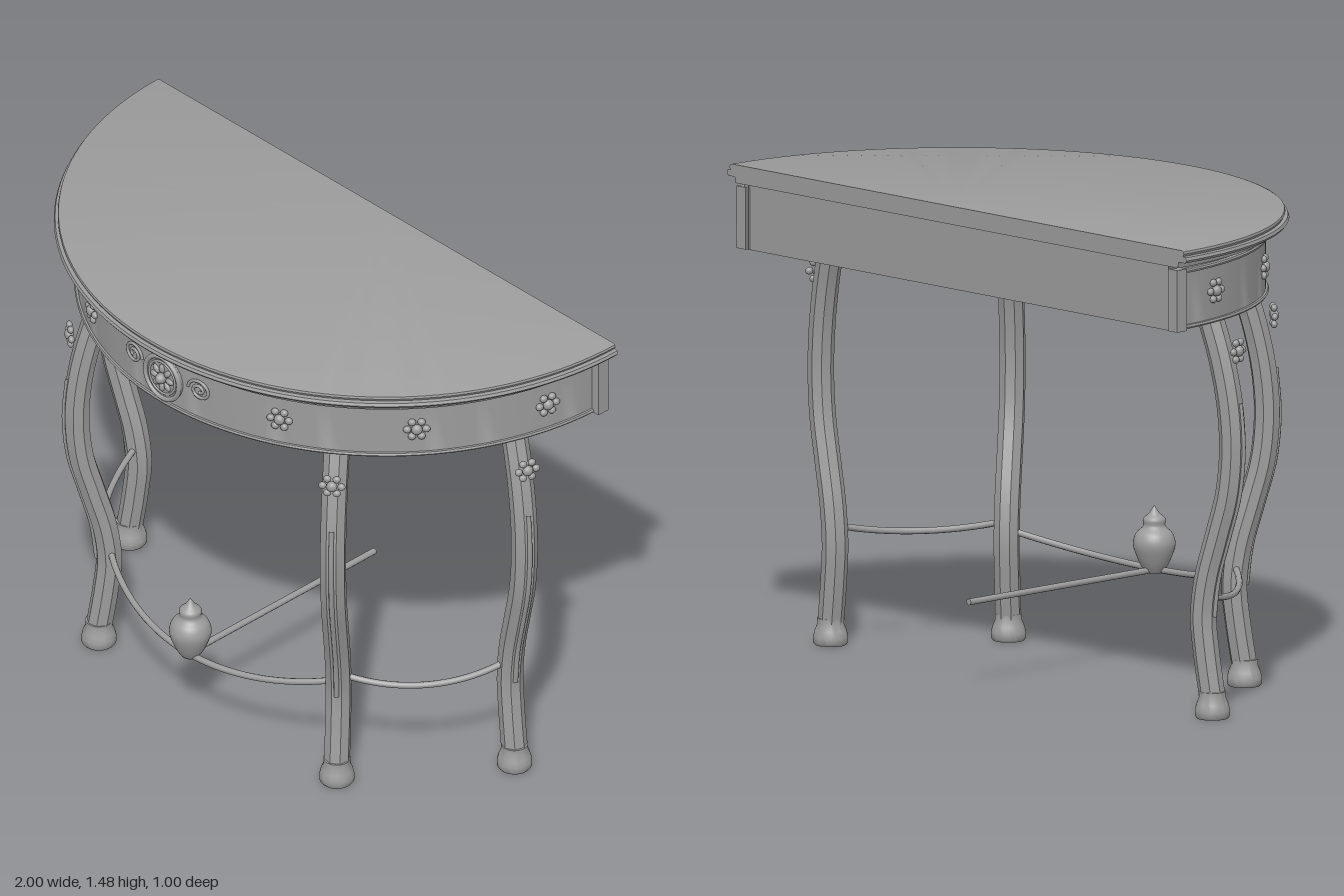
import * as THREE from 'three';
import { toCreasedNormals } from 'three/addons/utils/BufferGeometryUtils.js';

const V2 = (p) => new THREE.Vector2(p[0], p[1]);
const V3 = (x, y, z) => new THREE.Vector3(x, y, z);
const BACK = -0.5; // z of the straight back edge, centre of the half circle
const deg = Math.PI / 180;

export function createModel() {
  const model = new THREE.Group();
  const grey = new THREE.MeshStandardMaterial({ color: 0x9c9c9c });
  grey.name = 'plain grey';

  function add(parent, name, geometry, x = 0, y = 0, z = 0) {
    const mesh = new THREE.Mesh(geometry, grey);
    mesh.name = name;
    mesh.position.set(x, y, z);
    parent.add(mesh);
    return mesh;
  }

  // group whose local +x points outward at an angle round the half circle
  function radial(name, angle) {
    const g = new THREE.Group();
    g.name = name;
    g.position.z = BACK;
    g.rotation.y = -angle;
    model.add(g);
    return g;
  }

  // profile swept round the front half circle, with hard edges kept
  const halfLathe = (points) => toCreasedNormals(
    new THREE.LatheGeometry(points.map(V2), 72, -Math.PI / 2, Math.PI), 0.6);
  const tube = (points, r, n = 40) =>
    new THREE.TubeGeometry(new THREE.CatmullRomCurve3(points), n, r, 8);

  // table top with moulded edge
  const edge = [[0, 1.428], [0.962, 1.428], [0.965, 1.446], [0.994, 1.447], [1, 1.455],
    [0.996, 1.464], [0.984, 1.466], [0.988, 1.474], [0.986, 1.481], [0.978, 1.484], [0, 1.484]];
  add(model, 'tableTop', halfLathe(edge), 0, 0, BACK);
  const section = new THREE.Shape([...edge, ...edge.slice(1, -1).reverse().map(([x, y]) => [-x, y])].map(V2));
  add(model, 'tableTopBack', new THREE.ShapeGeometry(section), 0, 0, BACK).rotation.y = Math.PI;

  // curved apron with beads along both edges
  add(model, 'apron', halfLathe([[0.905, 1.43], [0.905, 1.23], [0.936, 1.23], [0.939, 1.235],
    [0.936, 1.241], [0.93, 1.242], [0.93, 1.4], [0.936, 1.401], [0.938, 1.407],
    [0.935, 1.412], [0.922, 1.413], [0.922, 1.43]]), 0, 0, BACK);
  add(model, 'apronBack', new THREE.BoxGeometry(1.86, 0.198, 0.02), 0, 1.329, BACK + 0.016);
  for (const s of [-1, 1]) {
    add(model, 'cornerPost', new THREE.BoxGeometry(0.04, 0.19, 0.042), s * 0.938, 1.325, BACK + 0.021);
  }

  // six-petal flower facing local +x
  const bead = new THREE.SphereGeometry(1, 14, 10);
  function flower(parent, x, y) {
    const g = new THREE.Group();
    g.name = 'flower';
    g.position.set(x, y, 0);
    parent.add(g);
    add(g, 'flowerCentre', bead, 0.003).scale.set(0.014, 0.017, 0.017);
    for (let i = 0; i < 6; i++) {
      const a = i * 60 * deg;
      add(g, 'petal', bead, 0, 0.029 * Math.sin(a), 0.029 * Math.cos(a)).scale.set(0.01, 0.0115, 0.0125);
    }
  }
  for (const k of [0.5, 1.5, 2.5, 4.5, 5.5, 6.5]) flower(radial('apronFlower', k * Math.PI / 7), 0.934, 1.326);

  // round medallion at the front
  const medallion = radial('medallion', Math.PI / 2);
  add(medallion, 'medallionDisc', new THREE.CylinderGeometry(0.076, 0.076, 0.016, 40), 0.932, 1.326).rotation.z = -Math.PI / 2;
  for (const [r, t] of [[0.072, 0.008], [0.055, 0.004]]) {
    add(medallion, 'medallionRing', new THREE.TorusGeometry(r, t, 10, 48), 0.94, 1.326).rotation.y = Math.PI / 2;
  }
  add(medallion, 'medallionBoss', bead, 0.945, 1.326).scale.set(0.02, 0.017, 0.017);
  for (let i = 0; i < 8; i++) {
    const a = i * 45 * deg;
    const p = add(medallion, 'medallionPetal', bead, 0.94, 1.326 + 0.033 * Math.sin(a), 0.033 * Math.cos(a));
    p.scale.set(0.009, 0.01, 0.016);
    p.rotation.x = -a;
  }

  // spiral scrolls either side of the medallion
  for (const s of [-1, 1]) {
    const pts = [];
    for (let i = 0; i <= 24; i++) {
      const t = i / 24, a = t * 3.6 * Math.PI, r = 0.043 - 0.036 * t;
      pts.push(V3(0.932, 1.338 + 0.85 * r * Math.sin(a), -s * r * Math.cos(a)));
    }
    add(radial('scroll', Math.PI / 2 + s * 8.7 * deg), 'scrollTube', tube(pts, 0.005, 72));
  }

  // S-curved octagonal legs
  const legLine = [[0.873, 0.06], [0.852, 0.2], [0.842, 0.31], [0.857, 0.43], [0.893, 0.56],
    [0.928, 0.69], [0.941, 0.83], [0.931, 0.97], [0.902, 1.11], [0.866, 1.225]];
  const legPath = new THREE.CatmullRomCurve3(legLine.map(([r, y]) => V3(r, y, 0)));
  const octagon = new THREE.Shape();
  for (let i = 0; i < 8; i++) {
    const a = (i + 0.5) * 45 * deg, x = 0.04 * Math.cos(a), y = 0.04 * Math.sin(a);
    if (i) octagon.lineTo(x, y); else octagon.moveTo(x, y);
  }
  const legGeo = toCreasedNormals(
    new THREE.ExtrudeGeometry(octagon, { steps: 40, extrudePath: legPath, bevelEnabled: false }), 0.5);
  const ridgeGeo = tube(legLine.slice(2, 8).map(([r, y]) => V3(r + 0.037, y, 0)), 0.008);
  const footGeo = toCreasedNormals(new THREE.LatheGeometry([[0, 0], [0.047, 0], [0.053, 0.008],
    [0.053, 0.025], [0.048, 0.045], [0.041, 0.062], [0.041, 0.082], [0, 0.082]].map(V2), 32), 0.7);
  for (const a of [18, 54, 126, 162]) {
    const leg = radial(a === 18 || a === 162 ? 'backLeg' : 'frontLeg', a * deg);
    add(leg, 'legShaft', legGeo);
    add(leg, 'legRidge', ridgeGeo);
    add(leg, 'foot', footGeo, 0.873);
    flower(leg, 0.961, 1.13);
  }

  // sagging stretchers between neighbouring legs
  function stretcher(name, a0, a1, y, sag, bulge) {
    const pts = [];
    for (let i = 0; i <= 12; i++) {
      const t = i / 12, a = (a0 + (a1 - a0) * t) * deg, k = 4 * t * (1 - t);
      const r = 0.842 + bulge * k;
      pts.push(V3(r * Math.cos(a), y - sag * k, BACK + r * Math.sin(a)));
    }
    add(model, name, tube(pts, 0.01));
  }
  stretcher('sideStretcher', 18, 54, 0.37, 0.034, 0.01);
  stretcher('sideStretcher', 126, 162, 0.37, 0.034, 0.01);
  stretcher('frontStretcher', 54, 126, 0.345, 0.075, -0.012);

  // straight rod running to the back
  add(model, 'backRod', new THREE.CylinderGeometry(0.01, 0.01, 0.78, 10), 0, 0.27, -0.06).rotation.x = Math.PI / 2;

  // urn finial on the front stretcher
  const urn = new THREE.SplineCurve([[0.028, 0.262], [0.047, 0.295], [0.064, 0.345], [0.056, 0.38],
    [0.034, 0.403], [0.034, 0.425], [0.017, 0.442], [0, 0.467]].map(V2)).getPoints(28);
  urn[urn.length - 1].x = 0;
  add(model, 'urn', new THREE.LatheGeometry([V2([0, 0.262]), ...urn], 32), 0, 0, 0.322);

  return model;
}
